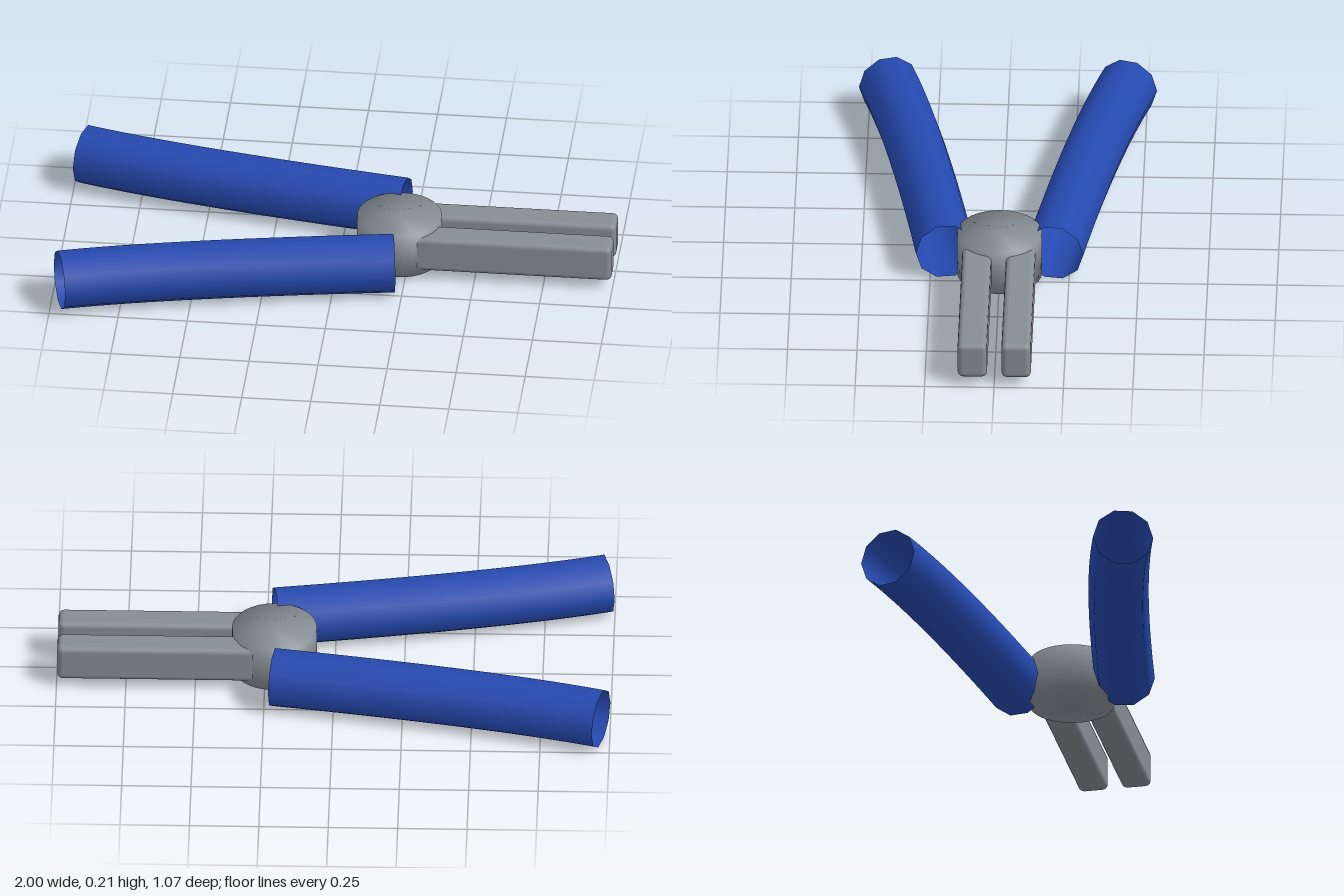
import * as THREE from 'three';
import { RoundedBoxGeometry } from 'three/addons/geometries/RoundedBoxGeometry.js';
import { ParametricGeometry } from 'three/addons/geometries/ParametricGeometry.js';

const MID_Y = 0.1035;
const PIVOT_X = 0.217;

// Ten-sided open sleeve swept along a gently curving grip line
function handleGeometry(side) {
  const radius = 0.1085;
  const curve = new THREE.QuadraticBezierCurve3(
    new THREE.Vector3(0.217, MID_Y, side * 0.194),
    new THREE.Vector3(-0.59, MID_Y, side * 0.318),
    new THREE.Vector3(-0.969, MID_Y, side * 0.433)
  );
  const up = new THREE.Vector3(0, 1, 0);
  return new ParametricGeometry((u, v, target) => {
    const angle = v * Math.PI * 2;
    const across = curve.getTangent(u).cross(up).normalize();
    target.copy(curve.getPoint(u))
      .addScaledVector(across, radius * Math.cos(angle))
      .addScaledVector(up, radius * Math.sin(angle));
  }, 20, 10);
}

export function createModel() {
  const group = new THREE.Group();
  const steel = new THREE.MeshStandardMaterial({ name: 'steel', color: 0x868d94 });
  const grip = new THREE.MeshStandardMaterial({ name: 'blueGrip', color: 0x2549b0, side: THREE.DoubleSide });

  const add = (name, geometry, material, x = 0, y = 0, z = 0) => {
    const mesh = new THREE.Mesh(geometry, material);
    mesh.name = name;
    mesh.position.set(x, y, z);
    group.add(mesh);
  };

  // Pivot drum, smoothly shaded over its rims
  const drum = [[0, -0.085], [0.153, -0.085], [0.153, 0.085], [0, 0.085]]
    .map(([r, y]) => new THREE.Vector2(r, y));
  add('pivot', new THREE.LatheGeometry(drum, 32), steel, PIVOT_X, MID_Y, 0);

  // Mirrored jaws and handles
  const jawStart = 0.21, jawEnd = 0.997;
  for (const [label, side] of [['front', 1], ['back', -1]]) {
    add(label + 'Jaw', new RoundedBoxGeometry(jawEnd - jawStart, 0.137, 0.106, 2, 0.02), steel,
      (jawStart + jawEnd) / 2, MID_Y, side * 0.079);
    add(label + 'Handle', handleGeometry(side), grip);
  }
  return group;
}
